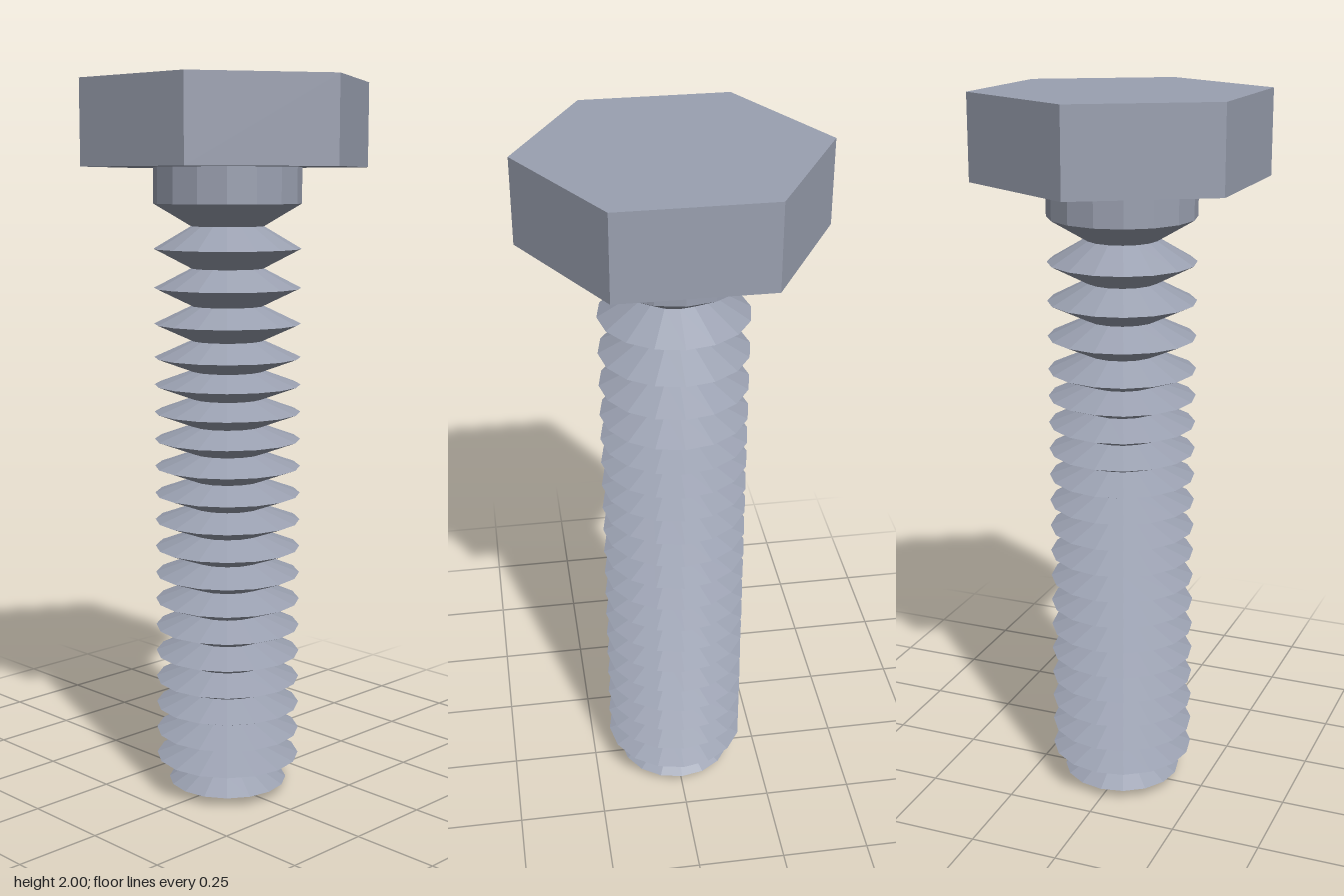
import * as THREE from 'three';

const SIDES = 16;
const OUTER = 0.203; // thread crest and collar radius
const ROOT = 0.1; // thread valley radius

// Facet a geometry by giving every face its own normal
function faceted(geometry) {
  const g = geometry.toNonIndexed();
  g.computeVertexNormals();
  return g;
}

export function createModel() {
  const bolt = new THREE.Group();
  bolt.name = 'hexBolt';
  const steel = new THREE.MeshStandardMaterial({ color: 0x9aa0b0 });
  steel.name = 'steel grey';

  function add(name, geometry) {
    const mesh = new THREE.Mesh(faceted(geometry), steel);
    mesh.name = name;
    bolt.add(mesh);
    return mesh;
  }

  // Hexagonal head, corners pointing front and back
  add('head', new THREE.CylinderGeometry(0.403, 0.403, 0.23, 6)).position.y = 1.885;

  // Plain collar under the head
  add('collar', new THREE.CylinderGeometry(OUTER, OUTER, 0.1, SIDES, 1, true)).position.y = 1.722;

  // Crest heights: even pitch, widening near the collar
  const crests = [0.028];
  for (let i = 0; i < 16; i++) crests.push(0.102 + i * 0.0767);
  crests.push(1.345, 1.443, 1.55, 1.672);

  // Zigzag thread profile, with a narrower tip
  const profile = [new THREE.Vector2(0, 0), new THREE.Vector2(0.07, 0)];
  crests.forEach((y, i) => {
    if (i > 0) profile.push(new THREE.Vector2(ROOT, (y + crests[i - 1]) / 2));
    profile.push(new THREE.Vector2(i === 0 ? 0.168 : OUTER, y));
  });
  add('threadedShank', new THREE.LatheGeometry(profile, SIDES));

  return bolt;
}
